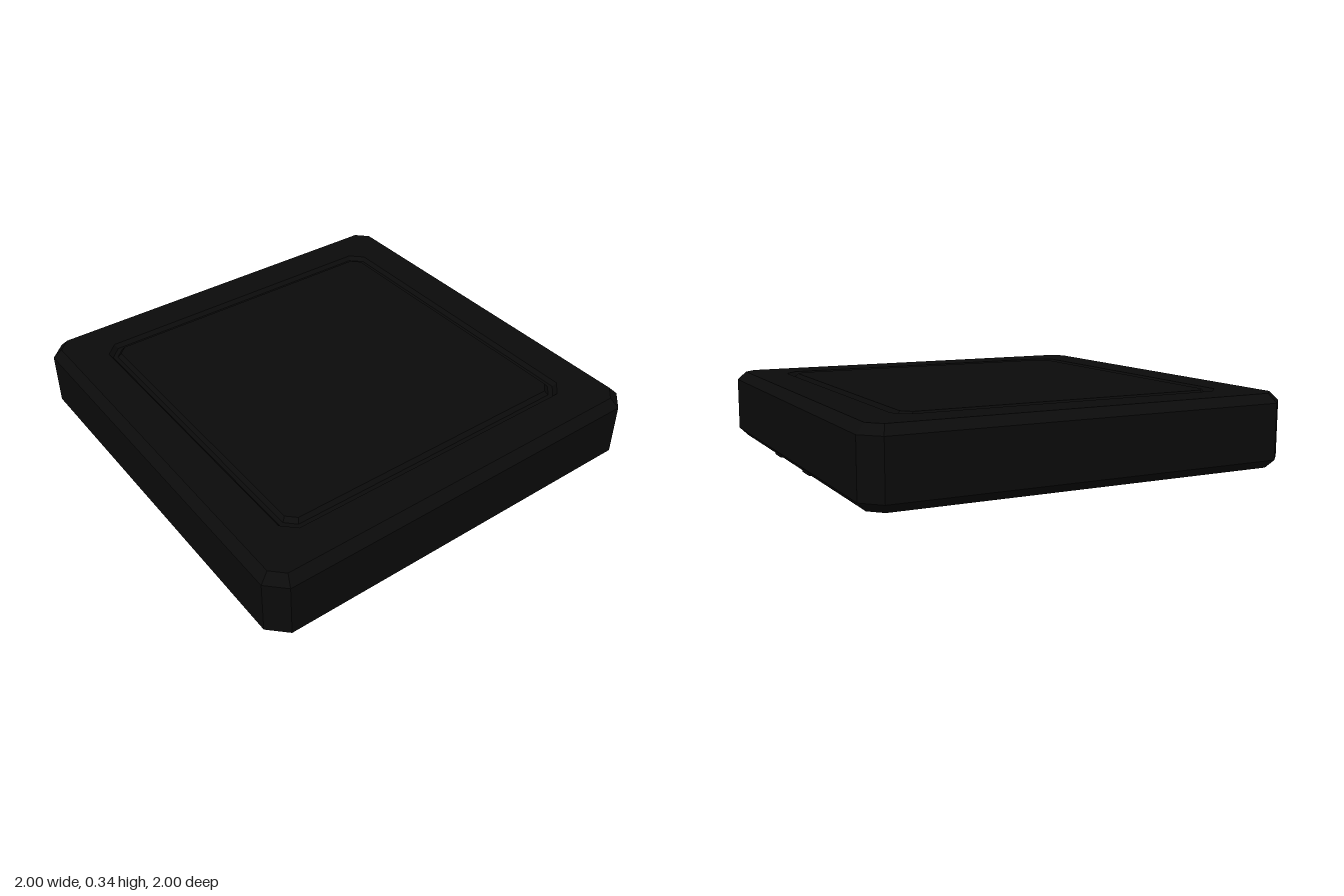
import * as THREE from 'three';

// Square outline with cut corners, counter-clockwise seen from above
function outline(half, cut, y) {
  const k = half - cut;
  return [
    [half, k], [half, -k], [k, -half], [-k, -half],
    [-half, -k], [-half, k], [-k, half], [k, half],
  ].map(([x, z]) => new THREE.Vector3(x, y, z));
}

// Skin a stack of outlines from the bottom up, closing both ends
function loft(rings) {
  const pos = [];
  const tri = (...pts) => pts.forEach((p) => pos.push(p.x, p.y, p.z));
  const n = rings[0].length;
  for (let r = 0; r < rings.length - 1; r++) {
    for (let i = 0; i < n; i++) {
      const j = (i + 1) % n;
      const a = rings[r][i], b = rings[r][j], c = rings[r + 1][j], d = rings[r + 1][i];
      tri(a, b, c);
      tri(a, c, d);
    }
  }
  const first = rings[0], last = rings[rings.length - 1];
  for (let i = 1; i < n - 1; i++) {
    tri(first[0], first[i + 1], first[i]);
    tri(last[0], last[i], last[i + 1]);
  }
  const geometry = new THREE.BufferGeometry();
  geometry.setAttribute('position', new THREE.Float32BufferAttribute(pos, 3));
  geometry.computeVertexNormals();
  return geometry;
}

export function createModel() {
  const group = new THREE.Group();
  group.name = 'slab';
  const black = new THREE.MeshStandardMaterial({ color: 0x0b0b0b, flatShading: true });
  black.name = 'black';

  // Bevelled slab with a shallow groove framing the top panel
  const body = new THREE.Mesh(loft([
    outline(0.96, 0.057, 0),
    outline(1, 0.08, 0.04),
    outline(1, 0.08, 0.295),
    outline(0.96, 0.057, 0.335),
    outline(0.79, 0.06, 0.335),
    outline(0.775, 0.055, 0.315),
    outline(0.755, 0.045, 0.315),
    outline(0.74, 0.04, 0.335),
  ]), black);
  body.name = 'body';
  group.add(body);

  // Small tabs under the lower bevel on both sides
  for (const side of [-1, 1]) {
    for (const z of [-0.22, 0.22]) {
      const tab = new THREE.Mesh(new THREE.BoxGeometry(0.06, 0.04, 0.1), black);
      tab.name = 'sideTab';
      tab.position.set(side * 0.955, 0.032, z);
      group.add(tab);
    }
  }
  return group;
}
